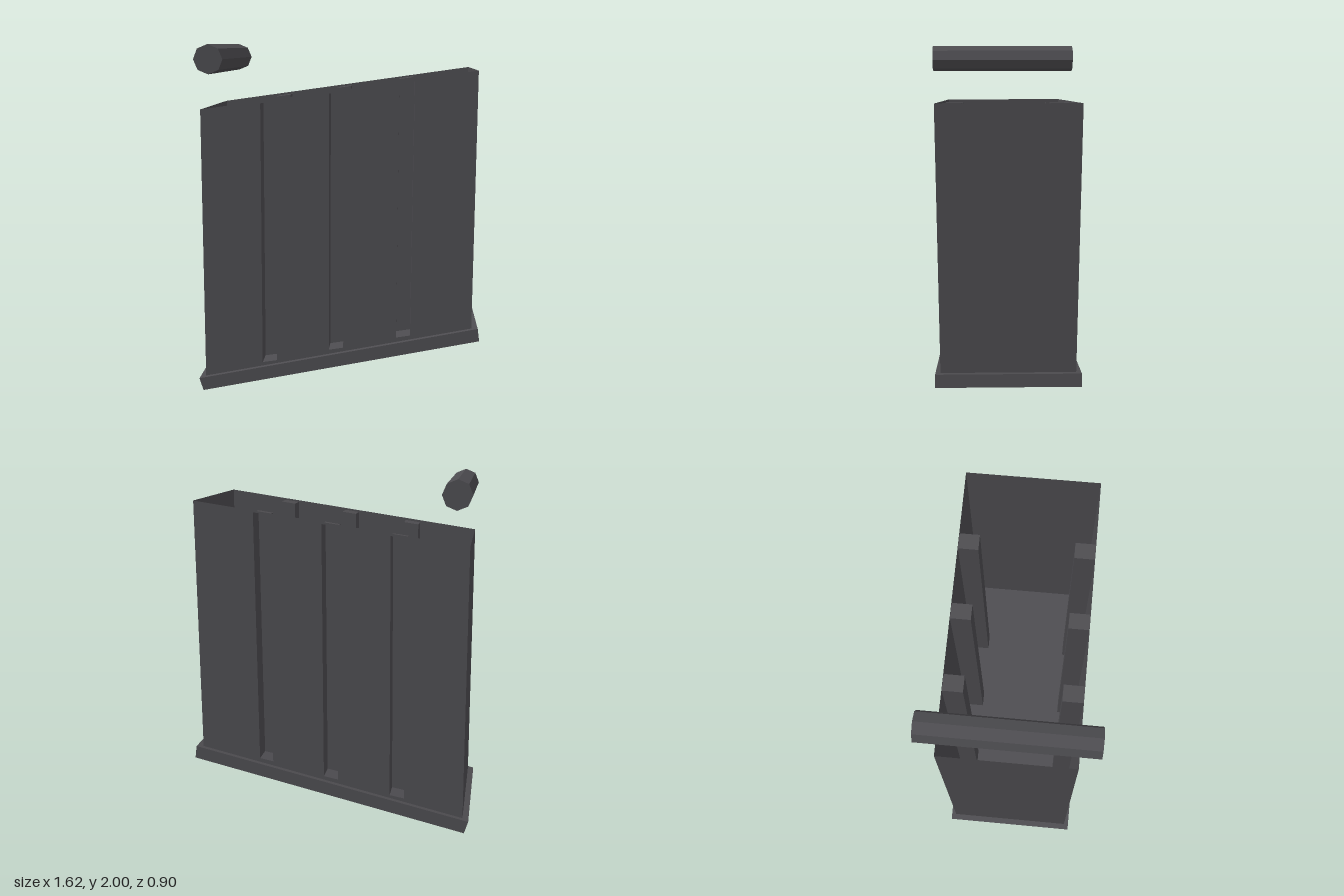
import * as THREE from 'three';

const CENTRE_Z = -0.008; // the housing sits slightly behind the pin's centre
const HALF = 0.365;      // half depth of the housing
const INNER = 0.255;     // how far in the grooves reach

const steel = new THREE.MeshStandardMaterial({ color: 0x4d4c50, side: THREE.DoubleSide, flatShading: true });
steel.name = 'darkSteel';

// Corners run bottom left, bottom right, top right, top left.
const body = [[-0.778, 0.08], [0.763, 0.41], [0.76, 1.86], [-0.762, 1.645]];
const plate = [[-0.79, 0.003], [0.807, 0.345], [0.797, 0.418], [-0.812, 0.076]];
const grooves = [
  [[-0.44, 0.176], [-0.356, 0.19], [-0.339, 1.692], [-0.426, 1.68]],
  [[-0.052, 0.262], [0.032, 0.277], [0.038, 1.747], [-0.045, 1.735]],
  [[0.336, 0.346], [0.416, 0.36], [0.42, 1.802], [0.336, 1.79]],
];

const toShape = (pts) => new THREE.Shape(pts.map(([x, y]) => new THREE.Vector2(x, y)));

function addMesh(parent, name, geometry) {
  const mesh = new THREE.Mesh(geometry, steel);
  mesh.name = name;
  parent.add(mesh);
  return mesh;
}

// Flat-faced surface from a list of four-cornered faces
function quads(list) {
  const pos = [];
  for (const [a, b, c, d] of list) pos.push(...a, ...b, ...c, ...a, ...c, ...d);
  const g = new THREE.BufferGeometry();
  g.setAttribute('position', new THREE.Float32BufferAttribute(pos, 3));
  g.computeVertexNormals();
  return g;
}

// Recess with a floor and four sides, open outwards
function grooveGeometry(pts) {
  const outer = pts.map(([x, y]) => [x, y, HALF]);
  const inner = pts.map(([x, y]) => [x, y, INNER]);
  const faces = [inner];
  for (let i = 0; i < 4; i++) {
    const j = (i + 1) % 4;
    faces.push([outer[i], outer[j], inner[j], inner[i]]);
  }
  return quads(faces);
}

// Broad wall pierced by three grooves
function broadSide(name) {
  const side = new THREE.Group();
  side.name = name;
  const shape = toShape(body);
  shape.holes = grooves.map((g) => new THREE.Path(toShape(g).getPoints().reverse()));
  addMesh(side, 'wall', new THREE.ShapeGeometry(shape)).position.z = HALF;
  grooves.forEach((g, i) => addMesh(side, `groove${i + 1}`, grooveGeometry(g)));
  side.position.z = CENTRE_Z;
  return side;
}

// Narrow wall between two corners of the body outline
function endWall(a, b) {
  return quads([[[...a, HALF], [...a, -HALF], [...b, -HALF], [...b, HALF]]]);
}

export function createModel() {
  const model = new THREE.Group();
  model.name = 'openHousing';

  // Front and back walls
  const front = broadSide('frontSide');
  const back = broadSide('backSide');
  back.scale.z = -1;
  model.add(front, back);

  // End walls; the top stays open
  addMesh(model, 'leftWall', endWall(body[1], body[2])).position.z = CENTRE_Z;
  addMesh(model, 'rightWall', endWall(body[3], body[0])).position.z = CENTRE_Z;

  // Sloping base plate
  const depth = 0.784;
  const base = new THREE.ExtrudeGeometry(toShape(plate), { depth, bevelEnabled: false });
  addMesh(model, 'basePlate', base).position.z = CENTRE_Z - depth / 2;

  // Eight-sided pin floating above the low corner
  const pin = new THREE.CylinderGeometry(0.08, 0.08, 0.9, 8).rotateX(Math.PI / 2);
  addMesh(model, 'pin', pin).position.set(-0.69, 1.92, 0);

  return model;
}
